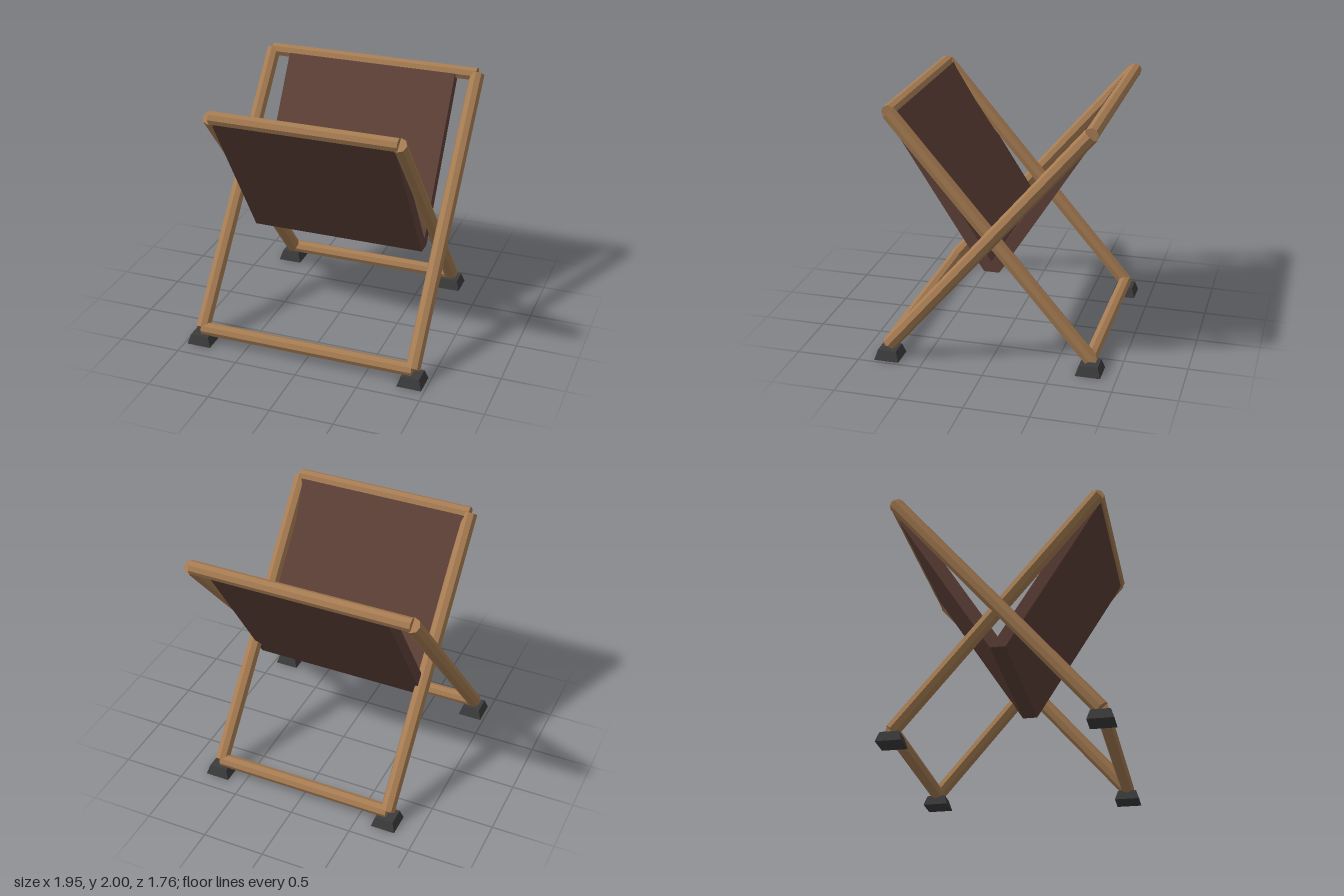
import * as THREE from 'three';

export function createModel() {
  const group = new THREE.Group();
  const mat = (name, color) => {
    const m = new THREE.MeshStandardMaterial({ color, flatShading: true });
    m.name = name;
    return m;
  };
  const wood = mat('wood', 0xa67c52);
  const cloth = mat('brown cloth', 0x5d4037);
  const rubber = mat('dark rubber', 0x3c3c3c);

  const add = (geometry, material, name, parent) => {
    const mesh = new THREE.Mesh(geometry, material);
    mesh.name = name;
    parent.add(mesh);
    return mesh;
  };

  const reach = 0.78, low = 0.112, high = 1.946;
  const rise = high - low, run = 2 * reach;

  // One rectangular frame: two slanted legs, two crossbars and two feet.
  // dir is the side (+z or -z) on which its feet stand.
  function addFrame(name, halfWidth, dir) {
    const frame = new THREE.Group();
    frame.name = name;
    group.add(frame);

    for (const side of [-1, 1]) {
      const x = side * halfWidth;
      const leg = add(new THREE.CylinderGeometry(0.059, 0.059, Math.hypot(rise, run), 8), wood, 'leg', frame);
      leg.position.set(x, (low + high) / 2, 0);
      leg.rotation.x = -dir * Math.atan2(run, rise);

      // Foot: square block tapering towards the top
      const footGeo = new THREE.CylinderGeometry(0.073 * Math.SQRT2, 0.098 * Math.SQRT2, 0.08, 4);
      footGeo.rotateY(Math.PI / 4);
      add(footGeo, rubber, 'foot', frame).position.set(x, 0.04, dir * reach);
    }

    for (const [y, z, part] of [[low, dir * reach, 'lowerCrossbar'], [high, -dir * reach, 'upperCrossbar']]) {
      const bar = new THREE.CylinderGeometry(0.054, 0.054, 2 * halfWidth, 8);
      bar.rotateZ(Math.PI / 2);
      add(bar, wood, part, frame).position.set(0, y, z);
    }
  }

  addFrame('outerFrame', 0.877, 1);
  addFrame('innerFrame', 0.73, -1);

  // Thick V-shaped sling hung between the two upper crossbars
  const profile = [[0, 0.82], [0.72, 1.95], [0.81, 1.913], [0.06, 0.735],
    [-0.06, 0.735], [-0.81, 1.913], [-0.72, 1.95]];
  const shape = new THREE.Shape(profile.map(([z, y]) => new THREE.Vector2(z, y)));
  const sling = new THREE.ExtrudeGeometry(shape, { depth: 1.42, bevelEnabled: false });
  sling.translate(0, 0, -0.71);
  sling.rotateY(Math.PI / 2);
  add(sling, cloth, 'seatSling', group);

  return group;
}
